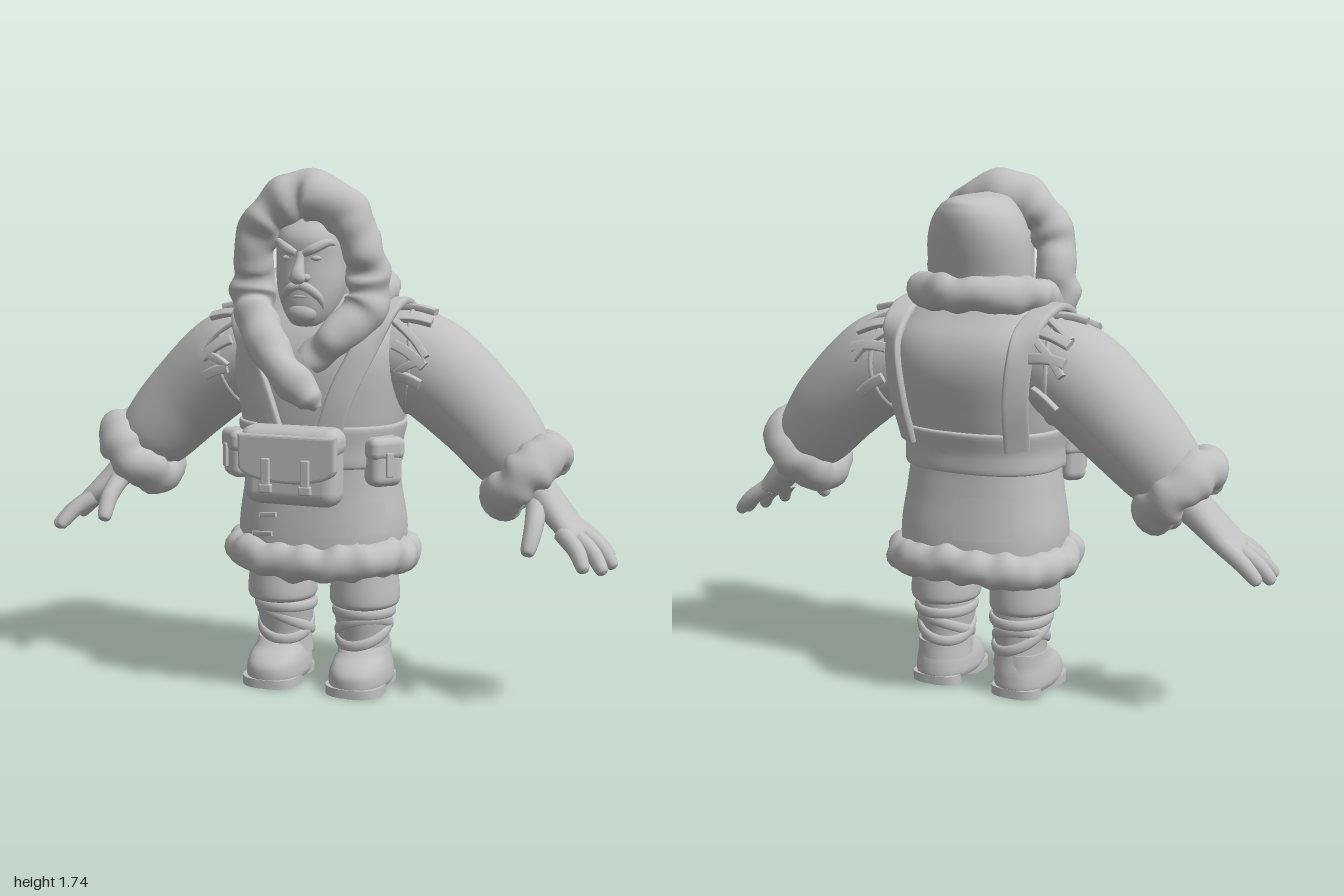
import * as THREE from 'three';
import { mergeGeometries } from 'three/addons/utils/BufferGeometryUtils.js';
import { RoundedBoxGeometry } from 'three/addons/geometries/RoundedBoxGeometry.js';

const V = (a) => new THREE.Vector3(...a);
const spline = (pts, closed) => new THREE.CatmullRomCurve3(pts.map(V), closed, 'catmullrom', 0.5);
const power = (v, e) => Math.sign(v) * Math.abs(v) ** (2 / e);

// Smooth swept form: radii are [side, up] pairs or numbers, "ref" orients the section,
// "dir" keeps all sections parallel, "fur" adds lumps
function tube(path, radii, { ref = [0, 0, 1], refs, dir, n = 32, m = 20, e = 2, closed = false, fur = 0 } = {}) {
  const curve = spline(path, closed);
  const list = Array.isArray(radii) ? radii : path.map(() => radii);
  const size = spline(list.map((r) => (Array.isArray(r) ? [r[0], r[1], 0] : [r, r, 0])), closed);
  const up = refs && spline(refs, closed);
  const at = (t, a, off = 0) => {
    const T = dir ? V(dir) : curve.getTangent(t), s = size.getPoint(t);
    const B = (up ? up.getPoint(t) : V(ref)).cross(T).normalize();
    const N = T.clone().cross(B);
    const w = 2 * Math.PI * t, k = Math.round(fur * 0.6);
    const lump = fur ? 1 + 0.06 * Math.sin(fur * w + 1.5 * Math.sin(a)) + 0.08 * Math.sin(k * w + 1) * Math.cos(2 * a + 0.5) + 0.06 * Math.sin((fur + 4) * w + 2) * Math.sin(a) : 1;
    const out = B.multiplyScalar(power(Math.cos(a), e) * (s.x * lump + off)).addScaledVector(N, power(Math.sin(a), e) * (s.y * lump + off));
    return { p: curve.getPoint(t).add(out), n: out.clone().normalize() };
  };
  const pos = [], idx = [], rows = closed ? n : n + 1;
  const ring = (t) => { for (let j = 0; j < m; j++) pos.push(...at(t, (j / m) * 2 * Math.PI).p.toArray()); };
  for (let i = 0; i < rows; i++) ring(i / n);
  for (let i = 0; i < n; i++) for (let j = 0; j < m; j++) {
    const k = (j + 1) % m, r = ((i + 1) % rows) * m;
    idx.push(i * m + j, i * m + k, r + j, i * m + k, r + k, r + j);
  }
  if (!closed) for (const t of [0, 1]) {
    const base = pos.length / 3;
    ring(t);
    pos.push(...curve.getPoint(t).toArray());
    for (let j = 0; j < m; j++) {
      const k = (j + 1) % m;
      idx.push(base + m, base + (t ? j : k), base + (t ? k : j));
    }
  }
  const g = new THREE.BufferGeometry();
  g.setAttribute('position', new THREE.Float32BufferAttribute(pos, 3));
  g.setIndex(idx);
  g.computeVertexNormals();
  g.userData.at = at;
  return g;
}

// Flat band following surface samples {p, n}
const ribbon = (s, width, thick, n = 24) => tube(s.map((q) => q.p.toArray()), s.map(() => [width / 2, thick / 2]),
  { refs: s.map((q) => q.n.toArray()), n, m: 16, e: 5 });

const ball = (x, y, z, a, b, c) => new THREE.SphereGeometry(1, 24, 16).scale(a, b, c).translate(x, y, z);
const box = (w, h, d, r, x, y, z) => new RoundedBoxGeometry(w, h, d, 4, r).translate(x, y, z);

function mirrored(geo) {
  const g = geo.clone().scale(-1, 1, 1);
  if (!g.index) g.setIndex([...Array(g.attributes.position.count).keys()]);
  const a = g.index.array;
  for (let i = 0; i < a.length; i += 3) [a[i], a[i + 1]] = [a[i + 1], a[i]];
  return g;
}

// Coat rings: y, half width, centre z, half depth
const coatRings = [[0.42, 0.27, -0.03, 0.225], [0.55, 0.285, -0.03, 0.22], [0.7, 0.265, -0.025, 0.203], [0.82, 0.255, -0.02, 0.2],
  [0.95, 0.28, -0.03, 0.22], [1.1, 0.305, -0.045, 0.235], [1.2, 0.295, -0.052, 0.21], [1.28, 0.24, -0.05, 0.15], [1.35, 0.13, -0.05, 0.1]];
const E = 2.4;
function coatRing(y) {
  let i = 0;
  while (i < coatRings.length - 2 && coatRings[i + 1][0] < y) i++;
  const a = coatRings[i], b = coatRings[i + 1], f = (y - a[0]) / (b[0] - a[0]);
  return a.map((v, k) => v + (b[k] - v) * f);
}
// Point and normal on the coat; s is 1 for the front, -1 for the back
function coatAt(x, y, s, off = 0.008) {
  const [, rx, zc, rz] = coatRing(y), u = Math.min(Math.abs(x / rx), 0.99), w = (1 - u ** E) ** (1 / E);
  const n = V([Math.sign(x) * u ** (E - 1) / rx, 0, s * w ** (E - 1) / rz]).normalize();
  return { p: V([x, y, zc + s * rz * w]).addScaledVector(n, off), n };
}
// Stack of level sections: y, half width, centre z, half depth
const stack = (rings, x, o) => tube(rings.map((r) => [x, r[0], r[2]]), rings.map((r) => [r[1], r[3]]), { ref: [0, 0, -1], dir: [0, 1, 0], m: 40, ...o });

function patch(cx, cy, w, h, s, tilt) {
  const g = new THREE.PlaneGeometry(1, 1, 10, 8), p = g.attributes.position;
  for (let i = 0; i < p.count; i++) {
    const u = p.getX(i) * w * s, v = p.getY(i) * h;
    p.setXYZ(i, ...coatAt(cx + u - v * tilt, cy + v + u * tilt, s, 0.009).p.toArray());
  }
  g.computeVertexNormals();
  return g;
}

export function createModel() {
  const root = new THREE.Group();
  const grey = new THREE.MeshStandardMaterial({ color: 0xc0c0c0 });
  grey.name = 'plain grey';
  const add = (name, geo) => {
    const mesh = new THREE.Mesh(geo, grey);
    mesh.name = name;
    root.add(mesh);
  };
  const pair = (name, geo) => { add(name + 'Left', geo); add(name + 'Right', mirrored(geo)); };

  // Coat, belt and hem
  add('coat', stack(coatRings, 0, { n: 48, m: 48, e: E }));
  const beltRings = [0.77, 0.78, 0.84, 0.9, 0.91].map(coatRing).map(([y, a, z, b], i) => (i % 4 ? [y, a + 0.012, z, b + 0.012] : [y, a, z, b]));
  add('belt', stack(beltRings, 0, { n: 16, m: 48, e: E }));
  const loop = (count, f) => Array.from({ length: count }, (_, i) => f((i / count) * 2 * Math.PI));
  add('hemFur', tube(loop(16, (a) => [0.272 * power(Math.cos(a), E), 0.463 + 0.008 * Math.sin(3 * a), -0.03 + 0.218 * power(Math.sin(a), E)]),
    0.06, { ref: [0, 1, 0], closed: true, n: 150, m: 18, fur: 17 }));
  [[-0.115, 0.59, 0.07, 0.1, 1, 0.15], [0.11, 0.55, 0.12, 0.05, 1, 0.15], [0.22, 0.595, 0.07, 0.13, 1, 0.1], [-0.09, 0.63, 0.19, 0.14, -1, -0.05]]
    .forEach((a, i) => add('patch' + (i + 1), patch(...a)));
  add('patchStitches', mergeGeometries([[-0.13, 0.54, 0.075], [-0.11, 0.605, 0.06]].map(([x, y, w]) =>
    ribbon([coatAt(x - w / 2, y, 1, 0.012), coatAt(x + w / 2, y + 0.008, 1, 0.012)], 0.016, 0.012, 4))));

  // Harness straps
  const strap = [coatAt(0.095, 0.88, 1), coatAt(0.14, 1.02, 1), coatAt(0.2, 1.17, 1, 0.016),
    { p: V([0.24, 1.265, 0.075]), n: V([0, 0.7, 0.7]) }, { p: V([0.25, 1.308, -0.05]), n: V([0, 1, 0]) },
    { p: V([0.24, 1.26, -0.185]), n: V([0, 0.7, -0.7]) }, coatAt(0.215, 1.17, -1, 0.026), coatAt(0.2, 1.02, -1, 0.024), coatAt(0.19, 0.86, -1, 0.014)];
  pair('harnessStrap', ribbon(strap, 0.085, 0.026, 60));

  // Sleeves with laced shoulder seams
  const sleeve = tube([[0.21, 1.13, -0.065], [0.35, 1.093, -0.077], [0.52, 0.953, -0.082], [0.64, 0.825, -0.065], [0.715, 0.735, -0.05]],
    [0.148, 0.167, 0.155, 0.135, 0.1], { n: 40, m: 32 });
  pair('sleeve', sleeve);
  const on = (t, a, off) => sleeve.userData.at(t, a, off);
  const seamAt = (deg) => 0.13 - 0.09 * Math.cos((deg * Math.PI) / 180);
  const lace = (d1, d2, w) => ribbon([0, 0.33, 0.67, 1].map((f) => {
    const d = d1 + (d2 - d1) * f;
    return on(seamAt(d) + 0.16 * f, (d * Math.PI) / 180, 0.01);
  }), w, 0.022, 8);
  const laces = [-108, -75, -42, -5, 35, 70, 102].map((d, i) => lace(d, d + (i % 2 ? 9 : -5), 0.034));
  laces.push(lace(40, 70, 0.026), lace(100, 74, 0.026), lace(-12, -42, 0.026), lace(-50, -78, 0.026));
  pair('shoulderLaces', mergeGeometries(laces));
  pair('shoulderSeam', tube(loop(20, (a) => on(0.21 - 0.09 * Math.cos(a), a, -0.003).p.toArray()), 0.009, { ref: [0.9, -0.4, 0], closed: true, n: 60, m: 8 }));
  const U = V([0.707, 0.707, 0]);
  pair('cuffFur', tube(loop(12, (a) => V([0.695, 0.755, -0.045]).addScaledVector(U, 0.115 * Math.cos(a)).add(V([0, 0, 0.11 * Math.sin(a)])).toArray()),
    [...Array(12)].map(() => [0.06, 0.072]), { ref: [0.707, -0.707, 0], closed: true, n: 96, m: 18, fur: 7 }));

  // Hands
  pair('palm', tube([[0.7, 0.75, -0.05], [0.78, 0.67, -0.035], [0.845, 0.605, -0.015], [0.885, 0.575, -0.008], [0.9, 0.565, -0.005]],
    [[0.06, 0.075], [0.048, 0.08], [0.038, 0.092], [0.029, 0.085], [0.008, 0.06]], { n: 24, e: 2.3 }));
  const fingers = [
    [[0.85, 0.6, -0.075], [0.915, 0.555, -0.085], [0.965, 0.505, -0.083]], [[0.86, 0.595, -0.03], [0.94, 0.545, -0.025], [0.988, 0.492, -0.01]],
    [[0.86, 0.59, 0.017], [0.93, 0.54, 0.042], [0.972, 0.49, 0.075]], [[0.84, 0.595, 0.055], [0.895, 0.55, 0.098], [0.925, 0.505, 0.135]],
    [[0.745, 0.675, 0.01], [0.755, 0.61, 0.09], [0.75, 0.545, 0.14]]];
  pair('fingers', mergeGeometries(fingers.map(([a, b, c], i) => {
    const tip = V(c).add(V(c).sub(V(b)).setLength(0.014)).toArray(), k = i === 4 ? 1.2 : 1.08;
    return tube([a, b, c, tip], [0.028 * k, 0.025 * k, 0.019 * k, 0.005], { ref: [0.7, 0.7, 0.1], n: 18, m: 12 });
  })));

  // Trousers, boots and wrappings
  pair('trouserLeg', stack([[0.277, 0.085, -0.032, 0.095], [0.29, 0.112, -0.03, 0.122], [0.32, 0.118, -0.03, 0.128], [0.4, 0.112, -0.03, 0.123], [0.5, 0.11, -0.03, 0.12]], 0.15, { n: 24 }));
  pair('bootShaft', stack([[0.09, 0.09, -0.047, 0.1], [0.16, 0.086, -0.043, 0.094], [0.25, 0.097, -0.037, 0.105], [0.29, 0.098, -0.037, 0.106]], 0.142, { n: 20 }));
  const wrap = (y, tilt, r, phase) => tube(loop(12, (a) => [0.143 + r * Math.cos(a), y + tilt * Math.sin(a + phase), -0.042 + (r + 0.01) * Math.sin(a)]),
    [...Array(12)].map(() => [0.01, 0.018]), { ref: [0, 1, 0], closed: true, n: 48, m: 10 });
  pair('bootWraps', mergeGeometries([wrap(0.26, 0.005, 0.098, 0), wrap(0.2, 0.045, 0.09, 0.6), wrap(0.19, 0.04, 0.088, 2.8)]));
  pair('foot', stack([[0.015, 0.092, 0, 0.145], [0.035, 0.1, 0, 0.15], [0.07, 0.098, 0, 0.147], [0.097, 0.092, -0.01, 0.132], [0.12, 0.086, -0.03, 0.11], [0.145, 0.083, -0.043, 0.094]],
    0.15, { n: 24, e: 2.3 }));
  const slab = (z, rx, rz) => stack([[0, rx, z, rz], [0.015, rx, z, rz], [0.03, rx, z, rz]], 0.151, { n: 2, e: 2.6 });
  pair('sole', mergeGeometries([slab(0.06, 0.098, 0.093), slab(-0.097, 0.085, 0.053)]));

  // Hood with fur trim
  add('hood', stack([[1.3, 0.16, -0.055, 0.13], [1.4, 0.172, -0.062, 0.142], [1.5, 0.17, -0.072, 0.158], [1.57, 0.15, -0.078, 0.165], [1.62, 0.115, -0.08, 0.16],
    [1.65, 0.07, -0.07, 0.14], [1.662, 0.01, -0.03, 0.04]], 0, { n: 44, e: 2 }));
  add('collarFur', tube([[0.195, 1.31, 0.07], [0.198, 1.335, -0.03], [0.16, 1.348, -0.13], [0, 1.35, -0.2], [-0.16, 1.348, -0.13], [-0.198, 1.335, -0.03], [-0.195, 1.31, 0.07]],
    [0.05, 0.056, 0.059, 0.06, 0.059, 0.056, 0.05], { ref: [0, 1, 0], n: 90, m: 18, fur: 7 }));
  add('hoodFur', tube([[0.03, 1.12, 0.19], [0.12, 1.2, 0.165], [0.195, 1.29, 0.105], [0.2, 1.39, 0.09], [0.182, 1.5, 0.115], [0.125, 1.595, 0.11], [0, 1.645, 0.09],
    [-0.125, 1.595, 0.11], [-0.182, 1.5, 0.115], [-0.2, 1.39, 0.09], [-0.195, 1.29, 0.105], [-0.13, 1.195, 0.175], [-0.04, 1.09, 0.222], [0.045, 1.01, 0.222], [0.075, 0.975, 0.215]],
    [0.045, 0.064, 0.07, 0.07, 0.066, [0.076, 0.08], [0.088, 0.095], [0.076, 0.08], 0.066, 0.07, 0.07, 0.066, 0.062, 0.048, 0.015], { n: 190, m: 20, fur: 15 }));

  // Stern bearded face
  add('head', stack([[1.225, 0.03, 0.08, 0.05], [1.24, 0.06, 0.085, 0.085], [1.29, 0.09, 0.08, 0.107], [1.36, 0.112, 0.07, 0.119], [1.44, 0.118, 0.06, 0.122],
    [1.52, 0.115, 0.055, 0.125], [1.59, 0.08, 0.04, 0.08]], 0, { n: 32, e: 2.2 }));
  add('nose', tube([[0, 1.475, 0.168], [0, 1.44, 0.181], [0, 1.405, 0.198], [0, 1.385, 0.2], [0, 1.375, 0.187]],
    [[0.016, 0.014], [0.015, 0.016], [0.022, 0.02], [0.026, 0.02], [0.012, 0.008]], { n: 20, m: 16 }));
  pair('nostril', ball(0.023, 1.388, 0.184, 0.014, 0.013, 0.016));
  pair('brow', tube([[0.012, 1.465, 0.18], [0.045, 1.48, 0.177], [0.085, 1.5, 0.15], [0.1, 1.49, 0.127]], [0.012, 0.016, 0.013, 0.004], { n: 16, m: 12 }));
  pair('eye', ball(0.046, 1.45, 0.167, 0.021, 0.01, 0.012));
  pair('moustache', tube([[0, 1.362, 0.187], [0.03, 1.355, 0.186], [0.06, 1.325, 0.167], [0.068, 1.29, 0.149]], [0.012, 0.015, 0.013, 0.005], { n: 18, m: 12 }));
  add('lowerLip', ball(0, 1.328, 0.18, 0.03, 0.008, 0.012));
  add('chinBeard', ball(0, 1.275, 0.16, 0.052, 0.038, 0.036));

  // Front satchel
  add('satchelBody', box(0.33, 0.25, 0.115, 0.05, 0, 0.785, 0.235));
  add('satchelTop', box(0.345, 0.1, 0.125, 0.045, 0, 0.868, 0.243));
  const s = new THREE.Shape();
  s.moveTo(-0.158, 0.885);
  s.lineTo(-0.158, 0.79);
  s.bezierCurveTo(-0.14, 0.735, 0.14, 0.735, 0.158, 0.79);
  s.lineTo(0.158, 0.885);
  add('satchelFlap', new THREE.ExtrudeGeometry(s, { depth: 0.016, bevelSize: 0.01, bevelThickness: 0.008, bevelSegments: 3, curveSegments: 24 }).translate(0, 0, 0.284));
  pair('satchelBuckle', mergeGeometries([box(0.03, 0.11, 0.014, 0.005, 0.068, 0.765, 0.311), box(0.044, 0.03, 0.018, 0.006, 0.068, 0.722, 0.311)]));

  // Side pouches
  pair('sidePouch', mergeGeometries([box(0.115, 0.16, 0.085, 0.03, 0, 0, 0), box(0.125, 0.075, 0.095, 0.025, 0, 0.045, 0), box(0.026, 0.08, 0.012, 0.004, 0, -0.005, 0.049)])
    .rotateY(0.8).translate(0.255, 0.795, 0.095));
  return root;
}
